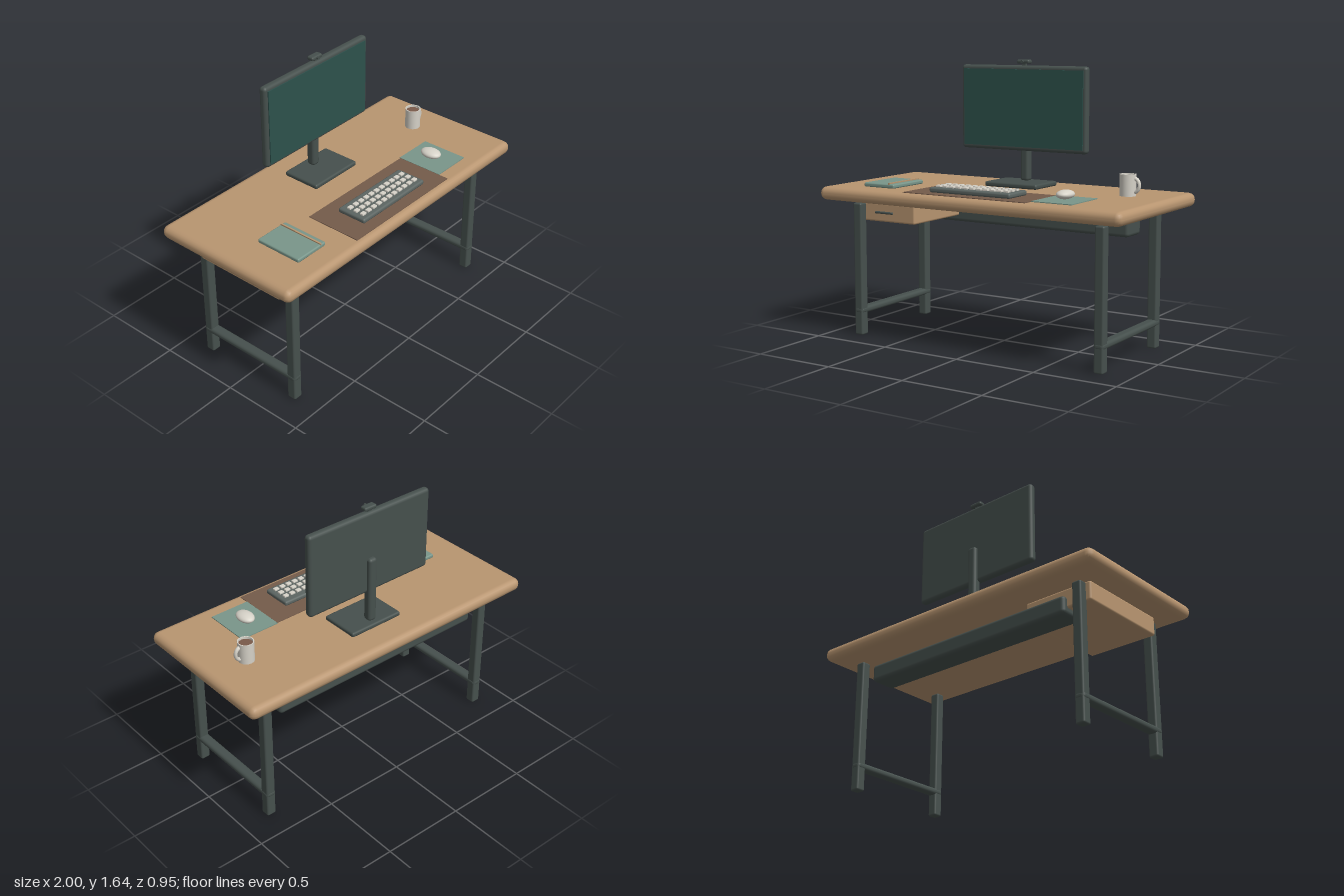
import * as THREE from 'three';
import { RoundedBoxGeometry } from 'three/addons/geometries/RoundedBoxGeometry.js';

const mat = (color) => new THREE.MeshStandardMaterial({ color });
const wood = mat(0xb89570);
const dark = mat(0x46504d);
const glass = mat(0x2d514c);
const teal = mat(0x79968a);
const brown = mat(0x745b4a);
const pale = mat(0xd6d2c8);
const keyboardGrey = mat(0x5c6562);
const coffeeBrown = mat(0x7a5a4a);

export function createModel() {
  const desk = new THREE.Group();
  desk.name = 'desk';

  const add = (name, geometry, material, x, y, z, parent = desk) => {
    const mesh = new THREE.Mesh(geometry, material);
    mesh.name = name;
    mesh.position.set(x, y, z);
    parent.add(mesh);
    return mesh;
  };
  const group = (name) => {
    const g = new THREE.Group();
    g.name = name;
    desk.add(g);
    return g;
  };
  // Soft-edged box given by its min/max extents along each axis
  const block = (name, material, [x0, x1], [y0, y1], [z0, z1], r, parent) =>
    add(name, new RoundedBoxGeometry(x1 - x0, y1 - y0, z1 - z0, 2, r), material,
      (x0 + x1) / 2, (y0 + y1) / 2, (z0 + z1) / 2, parent);
  const slab = (name, material, [x0, x1], [y0, y1], [z0, z1], parent) =>
    add(name, new THREE.BoxGeometry(x1 - x0, y1 - y0, z1 - z0), material,
      (x0 + x1) / 2, (y0 + y1) / 2, (z0 + z1) / 2, parent);

  // Table top
  block('tableTop', wood, [-1, 1], [0.82, 0.9], [-0.475, 0.475], 0.038);

  // Two leg frames, each with a low rail
  for (const [side, s] of [['left', 1], ['right', -1]]) {
    const frame = group(side + 'LegFrame');
    const x = s * 0.812;
    for (const [end, z] of [['front', 0.323], ['back', -0.323]]) {
      block(end + 'Leg', dark, [x - 0.029, x + 0.029], [0, 0.8], [z - 0.029, z + 0.029], 0.011, frame);
    }
    block('rail', dark, [x - 0.032, x + 0.032], [0.13, 0.17], [-0.354, 0.354], 0.018, frame);
  }

  // Drawer with a bar handle
  const drawer = group('drawer');
  block('drawerBox', wood, [-0.872, -0.437], [0.69, 0.803], [-0.305, 0.288], 0.012, drawer);
  block('drawerHandle', dark, [-0.72, -0.59], [0.739, 0.753], [0.284, 0.3], 0.006, drawer);

  // Cable tray under the back edge
  block('cableTray', dark, [-0.717, 0.717], [0.652, 0.757], [-0.338, -0.174], 0.022);

  // Monitor on its stand
  const monitor = group('monitor');
  block('standBase', dark, [-0.178, 0.178], [0.9, 0.93], [-0.305, -0.062], 0.012, monitor);
  block('standNeck', dark, [-0.028, 0.028], [0.925, 1.33], [-0.272, -0.216], 0.018, monitor);
  block('monitorCase', dark, [-0.43, 0.43], [1.107, 1.61], [-0.246, -0.197], 0.02, monitor);
  slab('screen', glass, [-0.408, 0.408], [1.13, 1.587], [-0.2, -0.191], monitor);

  // Webcam
  block('webcamBody', dark, [-0.042, 0.042], [1.62, 1.644], [-0.243, -0.199], 0.01, monitor);
  slab('webcamMount', dark, [-0.012, 0.012], [1.6, 1.625], [-0.23, -0.212], monitor);
  const lens = add('webcamLens', new THREE.CylinderGeometry(0.009, 0.009, 0.012, 16), dark, 0, 1.632, -0.195, monitor);
  lens.rotation.x = Math.PI / 2;

  // Desk mat and mouse pad
  slab('deskMat', brown, [-0.408, 0.405], [0.899, 0.904], [0.088, 0.435]);
  slab('mousePad', teal, [0.406, 0.655], [0.899, 0.905], [0.082, 0.372]);

  // Keyboard with three rows of keys
  const keyboard = group('keyboard');
  block('keyboardCase', keyboardGrey, [-0.272, 0.268], [0.904, 0.934], [0.182, 0.37], 0.012, keyboard);
  const keyGeometry = new RoundedBoxGeometry(0.033, 0.014, 0.026, 1, 0.004);
  const columns = 11;
  for (let row = 0; row < 3; row++) {
    for (let col = 0; col < columns; col++) {
      const x = -0.002 + (col - (columns - 1) / 2) * 0.0455;
      add('key', keyGeometry, pale, x, 0.938, 0.236 + row * 0.046, keyboard);
    }
  }

  // Mouse
  const mouse = add('mouse', new THREE.SphereGeometry(1, 24, 16), pale, 0.531, 0.933, 0.218);
  mouse.scale.set(0.047, 0.026, 0.066);

  // Mug: hollow turned body, handle and drink
  const mug = group('mug');
  mug.position.set(0.753, 0.9, -0.092);
  const profile = [[0, 0.006], [0.046, 0.006], [0.047, 0.128], [0.041, 0.128], [0.04, 0.105]]
    .flatMap(([r, y], i) => (i === 0 || i === 4 ? [[r, y]] : [[r, y], [r, y]]))
    .map(([r, y]) => new THREE.Vector2(r, y));
  const wall = mat(0xd6d2c8);
  wall.side = THREE.DoubleSide;
  add('mugBody', new THREE.LatheGeometry(profile, 32), wall, 0, 0, 0, mug);
  add('drink', new THREE.CylinderGeometry(0.041, 0.041, 0.004, 32), coffeeBrown, 0, 0.113, 0, mug);
  const handle = add('mugHandle', new THREE.TorusGeometry(0.037, 0.012, 10, 28), pale, 0.04, 0.067, 0, mug);
  handle.scale.x = 0.8;

  // Notebook with an elastic strap
  const notebook = group('notebook');
  block('notebookCover', teal, [-0.768, -0.55], [0.9, 0.925], [0.04, 0.335], 0.009, notebook);
  slab('strap', wood, [-0.592, -0.582], [0.92, 0.932], [0.042, 0.333], notebook);

  return desk;
}
